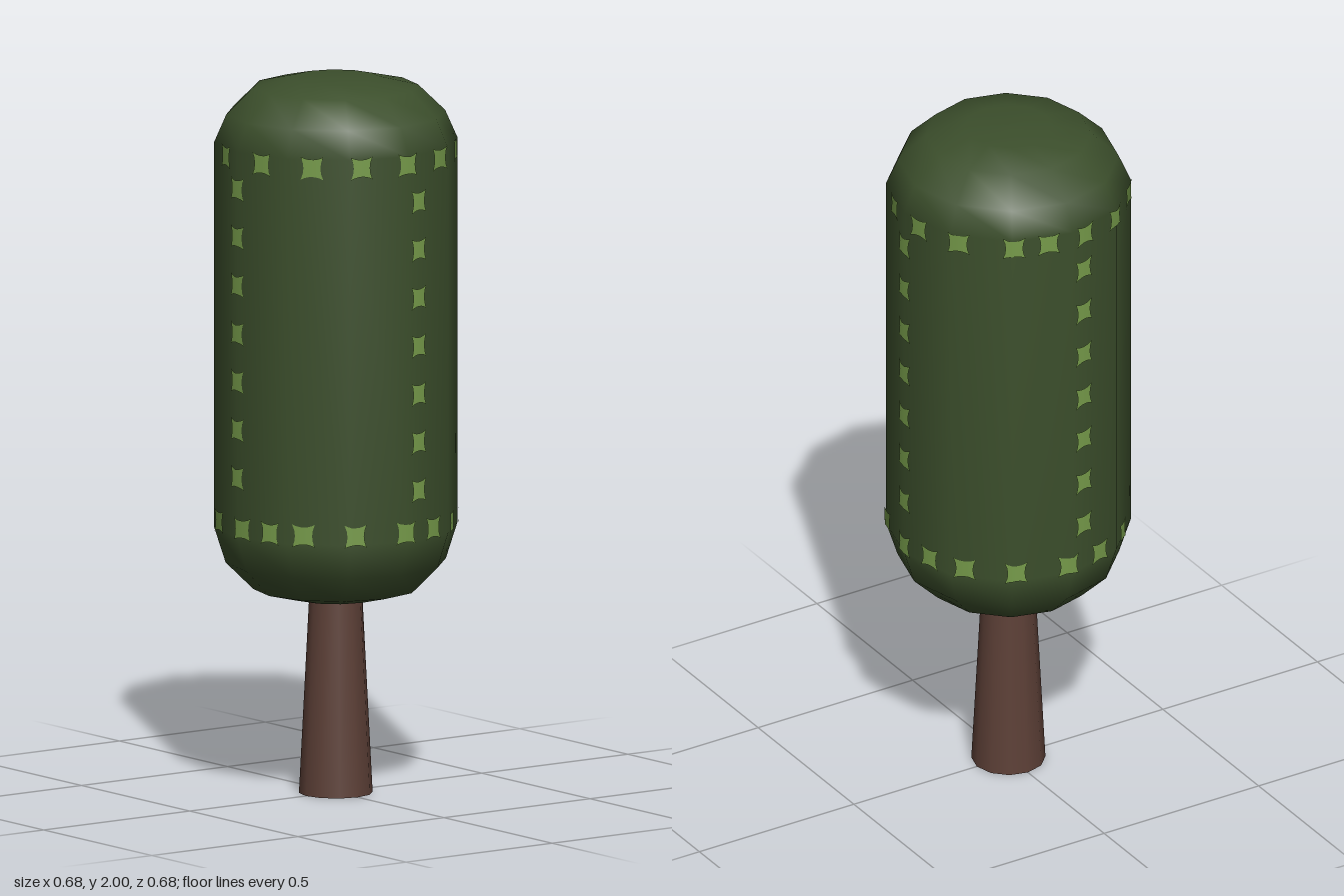
import * as THREE from 'three';
import { mergeGeometries } from 'three/addons/utils/BufferGeometryUtils.js';

const R = 0.337; // crown radius at the corners of its twelve sides
const SIDES = 12;

const mat = (name, color, extra = {}) => {
  const m = new THREE.MeshStandardMaterial({ color, ...extra });
  m.name = name;
  return m;
};

// Distance from the axis to the twelve-sided wall at an angle in radians
function wallRadius(a) {
  const step = (Math.PI * 2) / SIDES;
  const t = (((a % step) + step) % step) - step / 2;
  return (R * Math.cos(step / 2)) / Math.cos(t);
}

// Thin tuft with pinched edges, wrapped on the wall. Angle runs from +x to +z.
function tuft(degrees, y, size) {
  const g = new THREE.PlaneGeometry(1, 1, 6, 4);
  const p = g.attributes.position;
  const n = g.attributes.normal;
  const mid = THREE.MathUtils.degToRad(degrees);
  for (let i = 0; i < p.count; i++) {
    const u = p.getX(i);
    const v = p.getY(i);
    const across = u * (1 - 0.25 * (1 - 4 * v * v)) * size;
    const up = v * (1 - 0.25 * (1 - 4 * u * u)) * size;
    const a = mid - across / R;
    const r = wallRadius(a) + 0.004;
    p.setXYZ(i, Math.cos(a) * r, y + up, Math.sin(a) * r);
    n.setXYZ(i, Math.cos(a), 0, Math.sin(a));
  }
  return g;
}

export function createModel() {
  const group = new THREE.Group();
  const add = (name, geometry, material) => {
    const mesh = new THREE.Mesh(geometry, material);
    mesh.name = name;
    group.add(mesh);
  };

  const bark = mat('bark brown', 0x5d4037);
  const leaf = mat('dark leaf green', 0x3c4f2c);
  const light = mat('light leaf green', 0x769b4a);

  // Tapered trunk, reaching into the crown
  const trunk = new THREE.CylinderGeometry(0.07, 0.102, 0.62, 12);
  trunk.translate(0, 0.31, 0);
  add('trunk', trunk, bark);

  // Tall crown with rounded ends
  const profile = [
    [0, 0.545], [0.12, 0.546], [0.228, 0.572], [0.305, 0.648], [R, 0.748],
    [R, 1.823], [0.303, 1.9], [0.228, 1.973], [0.12, 1.998], [0, 2],
  ].map(([x, y]) => new THREE.Vector2(x, y));
  add('crown', new THREE.LatheGeometry(profile, SIDES), leaf);

  // Slightly uneven rings of tufts near the top and bottom
  const topAngles = [90, 67, 40, 14, 350, 326, 299, 282, 262, 240, 217, 193, 165, 138, 114];
  const lowAngles = [142, 117, 91, 72, 52, 26, 1, 343, 323, 298, 272, 252, 229, 202, 177, 160];
  add('upperTufts', mergeGeometries(topAngles.map((a) => tuft(a, 1.8, 0.064))), light);
  add('lowerTufts', mergeGeometries(lowAngles.map((a) => tuft(a, 0.772, 0.064))), light);

  // Four upright rows of tufts
  const rows = [
    { name: 'frontTufts', angle: 83, top: 1.693 },
    { name: 'leftTufts', angle: 1, top: 1.72 },
    { name: 'backTufts', angle: 263, top: 1.693 },
    { name: 'rightTufts', angle: 181, top: 1.72 },
  ];
  for (const { name, angle, top } of rows) {
    const tufts = [];
    for (let i = 0; i < 7; i++) tufts.push(tuft(angle, top - i * 0.1345, 0.064));
    add(name, mergeGeometries(tufts), light);
  }

  return group;
}
